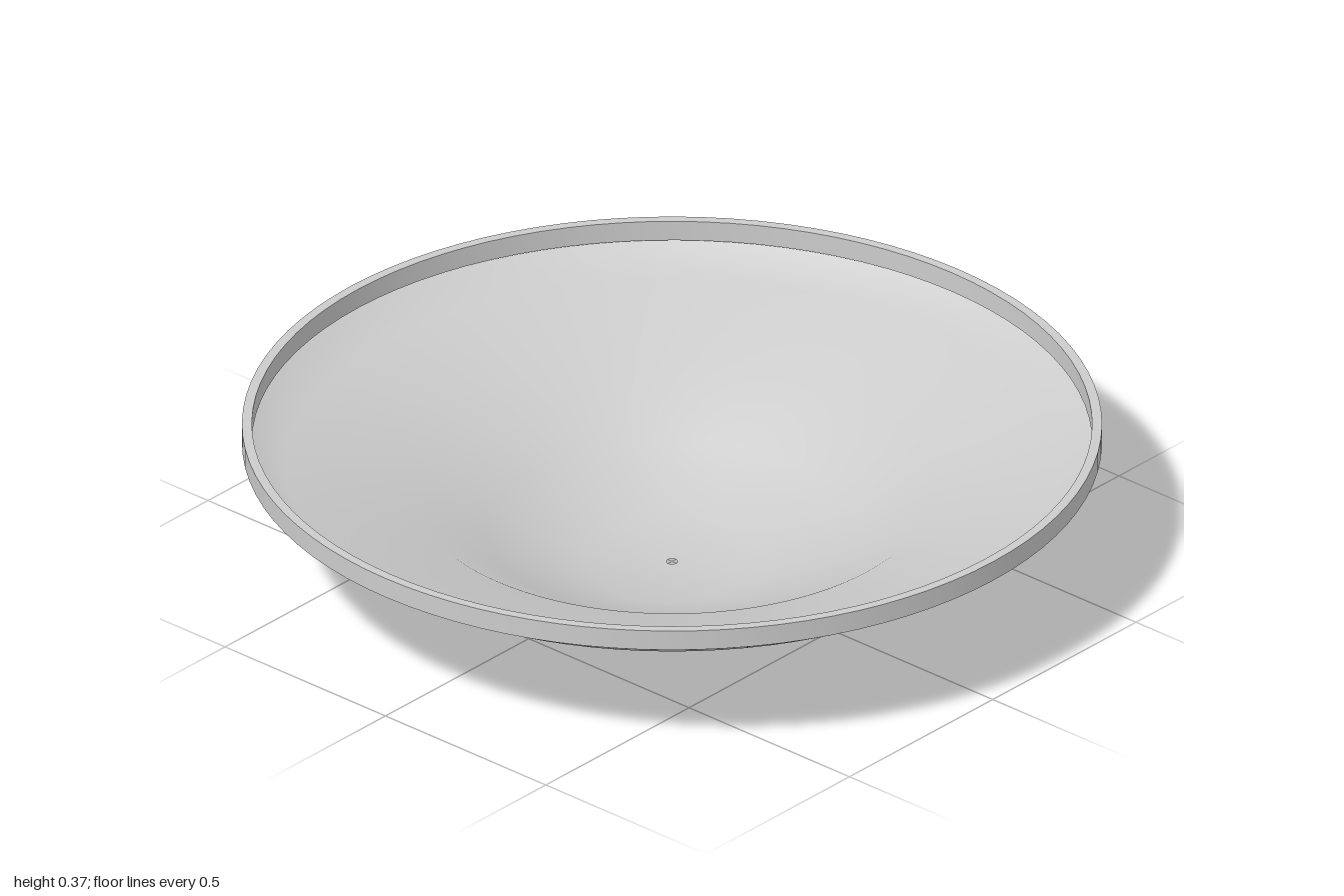
import * as THREE from 'three';
import { toCreasedNormals } from 'three/addons/utils/BufferGeometryUtils.js';

const SEGMENTS = 96;
const lathe = (points) =>
  new THREE.LatheGeometry(points.map(([r, y]) => new THREE.Vector2(r, y)), SEGMENTS);

export function createModel() {
  const group = new THREE.Group();
  group.name = 'shallowDish';
  const material = new THREE.MeshStandardMaterial({ color: 0xcccccc, side: THREE.DoubleSide });

  // Thin smooth dish with a pinhole in its flat base
  const dish = new THREE.Mesh(lathe([
    [0.013, 0], [0.2, 0], [0.43, 0.085], [0.61, 0.197], [0.9, 0.256], [1, 0.315],
  ]), material);
  dish.name = 'dish';

  // Square-edged rim band: outer wall, top, inner wall, underside
  const rim = new THREE.Mesh(toCreasedNormals(lathe([
    [1, 0.315], [1, 0.365], [0.977, 0.365], [0.977, 0.315], [1, 0.315],
  ]), Math.PI / 6), material);
  rim.name = 'rim';

  group.add(dish, rim);
  return group;
}
